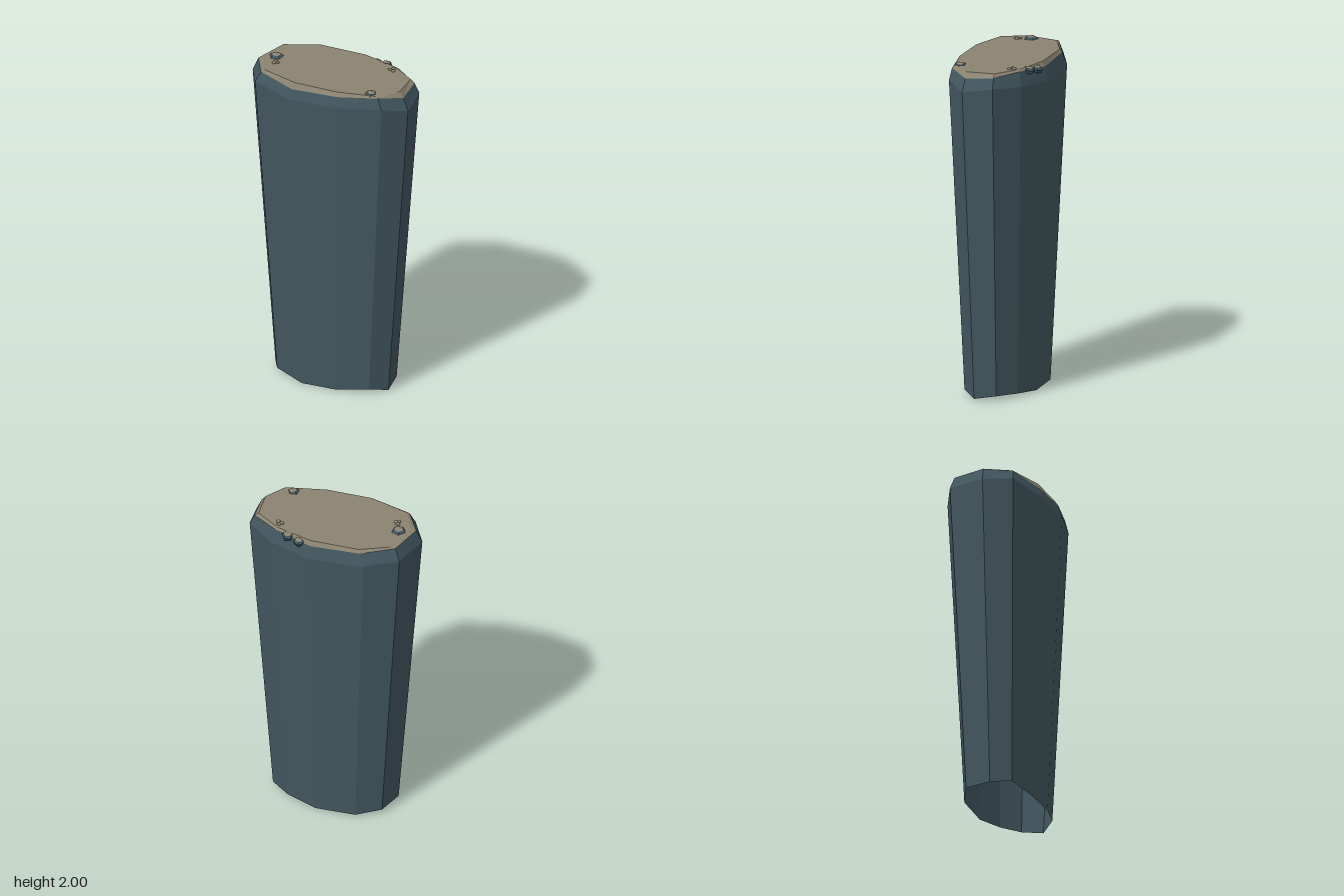
import * as THREE from 'three';

const slate = new THREE.MeshStandardMaterial({ color: 0x42575f, flatShading: true, side: THREE.DoubleSide });
slate.name = 'slate rock';
const sand = new THREE.MeshStandardMaterial({ color: 0x8b8371, flatShading: true });
sand.name = 'sandy stone';

// Widest outline of the pillar, clockwise from above: x, y, z
const shoulder = [
  [-0.51, 1.89, 0.08], [-0.46, 1.9, -0.155], [-0.275, 1.885, -0.262], [0.055, 1.87, -0.288],
  [0.31, 1.885, -0.235], [0.48, 1.9, -0.13], [0.508, 1.87, 0.05], [0.405, 1.905, 0.18],
  [0.155, 1.89, 0.262], [-0.15, 1.88, 0.285], [-0.41, 1.905, 0.227],
];
// Uneven edge where the rock meets the sandy top
const rim = [
  [-0.477, 1.97, 0.07], [-0.43, 1.975, -0.14], [-0.25, 1.96, -0.243], [0.052, 1.95, -0.269],
  [0.29, 1.97, -0.217], [0.452, 1.96, -0.124], [0.475, 1.945, 0.045], [0.378, 1.972, 0.172],
  [0.147, 1.955, 0.245], [-0.142, 1.942, 0.268], [-0.378, 1.968, 0.213],
];
// Outline of the flat top
const plateau = [
  [-0.445, 0.067], [-0.408, -0.138], [-0.238, -0.232], [0.05, -0.255], [0.277, -0.208],
  [0.428, -0.12], [0.45, 0.043], [0.36, 0.168], [0.14, 0.231], [-0.132, 0.251], [-0.362, 0.2],
].map(([x, z]) => [x, 1.98, z]);
// Smaller, wavy foot
const footY = [0.02, 0.03, 0.01, 0.005, 0.025, 0.03, 0.005, 0.033, 0.01, 0.003, 0.035];
const foot = shoulder.map(([x, , z], i) => [x * 0.728, footY[i], z * 0.728]);

function mesh(name, triangles, material) {
  const g = new THREE.BufferGeometry();
  g.setAttribute('position', new THREE.Float32BufferAttribute(triangles.flat(), 3));
  g.computeVertexNormals();
  const m = new THREE.Mesh(g, material);
  m.name = name;
  return m;
}

// Faces between two rings of equal size
function band(lo, hi) {
  return lo.flatMap((a, i) => {
    const j = (i + 1) % lo.length;
    return [a, hi[i], lo[j], lo[j], hi[i], hi[j]];
  });
}

// Fan of faces from a ring up to one point
function fan(ring, peak) {
  return ring.flatMap((a, i) => [peak, ring[(i + 1) % ring.length], a]);
}

function ring(r, y, sides = 5) {
  return Array.from({ length: sides }, (_, i) => {
    const a = (i / sides) * Math.PI * 2;
    return [r * Math.cos(a), y, r * Math.sin(a)];
  });
}

// Five-sided stone with a sandy pointed crown
function stone(x, y, z, r, turn, tiltX = 0, tiltZ = 0) {
  const g = new THREE.Group();
  g.name = 'stone';
  const base = ring(r * 0.85, -0.02), waist = ring(r, 0), crown = ring(r * 0.66, 0.013);
  g.add(mesh('stoneBody', [...band(base, waist), ...band(waist, crown)], slate));
  g.add(mesh('stoneCrown', fan(crown, [0, 0.02, 0]), sand));
  // Rings above run the other way round, so mirror them
  g.scale.z = -1;
  g.position.set(x, y, z);
  g.rotation.set(tiltX, turn, tiltZ);
  return g;
}

export function createModel() {
  const model = new THREE.Group();
  model.name = 'rockPillar';

  // Hollow pillar with a bevelled shoulder
  model.add(mesh('pillarWall', band(foot, shoulder), slate));
  model.add(mesh('shoulderBevel', band(shoulder, rim), slate));

  // Sandy top
  model.add(mesh('topBevel', band(rim, plateau), sand));
  model.add(mesh('topSurface', fan(plateau, [0, 1.98, 0]), sand));

  // Stones near the edge
  model.add(stone(-0.388, 1.98, 0.018, 0.043, Math.PI));
  model.add(stone(0.318, 1.976, 0.147, 0.038, 0, 0, -0.12));
  model.add(stone(0.125, 1.955, -0.25, 0.037, 0.5, -0.2));
  model.add(stone(0.2, 1.966, -0.236, 0.038, 1.2, -0.15));

  // Clusters of three pebbles
  const pebble = new THREE.IcosahedronGeometry(0.013, 1);
  [[0.28, -0.178], [0.267, -0.163], [0.292, -0.154],
    [-0.36, 0.075], [-0.343, 0.088], [-0.357, 0.099]].forEach(([x, z]) => {
    const p = new THREE.Mesh(pebble, sand);
    p.name = 'pebble';
    p.position.set(x, 1.98, z);
    p.scale.y = 0.8;
    model.add(p);
  });

  return model;
}
